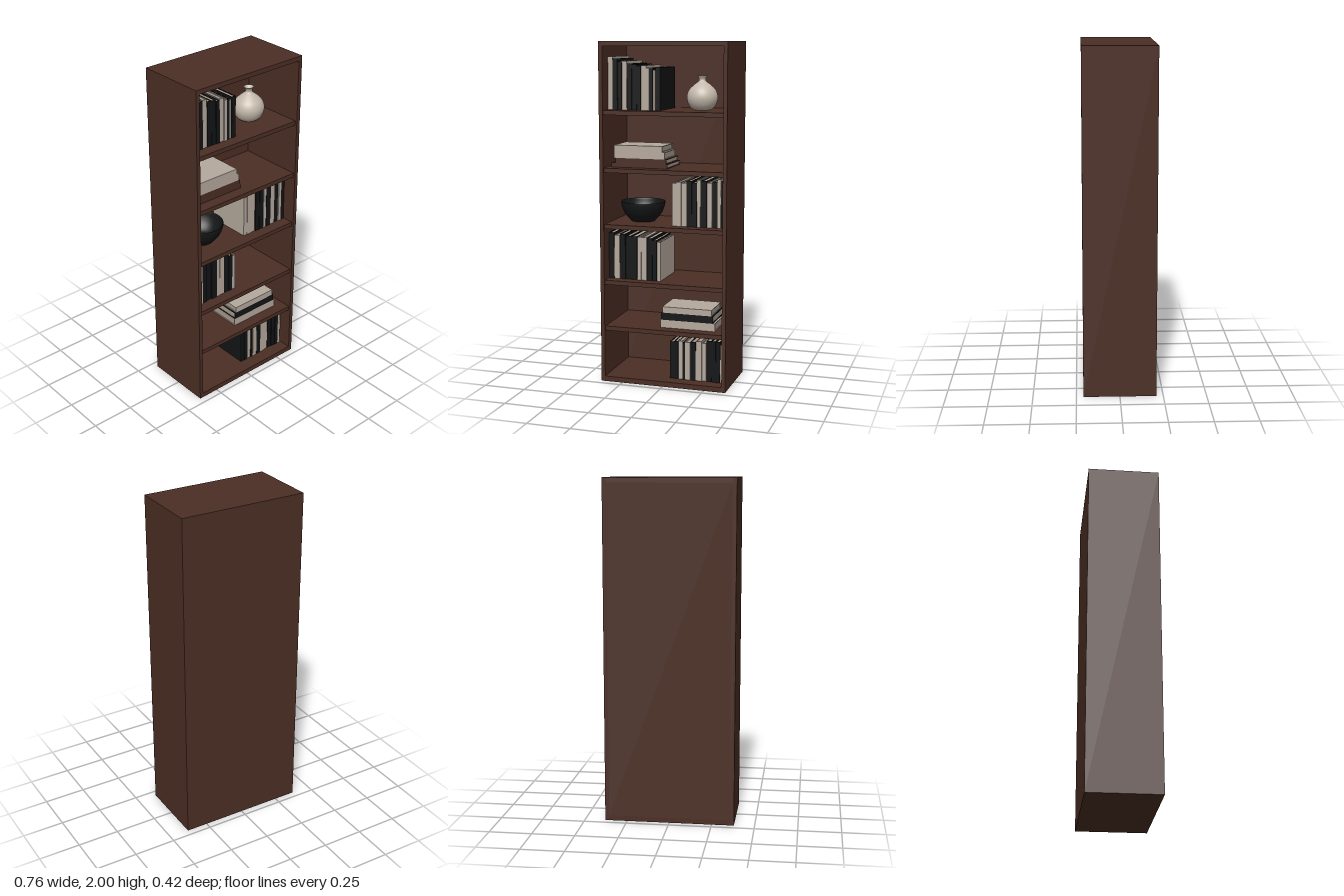
import * as THREE from 'three';

const mat = (name, color, side = THREE.FrontSide) => {
  const m = new THREE.MeshStandardMaterial({ color, side });
  m.name = name;
  return m;
};

export function createModel() {
  const model = new THREE.Group();
  model.name = 'bookcase';
  const wood = mat('dark brown wood', 0x4b2e24);
  const cream = mat('cream cover', 0xb5a99d);
  const black = mat('black cover', 0x131415);
  const pages = mat('paper', 0xa89c8f);
  const ceramic = mat('pale ceramic', 0xc4b9ab, THREE.DoubleSide);
  const bowlBlack = mat('black bowl glaze', 0x151617, THREE.DoubleSide);

  // Box given by its min and max corners
  const box = (parent, name, m, x0, x1, y0, y1, z0, z1) => {
    const mesh = new THREE.Mesh(new THREE.BoxGeometry(x1 - x0, y1 - y0, z1 - z0), m);
    mesh.position.set((x0 + x1) / 2, (y0 + y1) / 2, (z0 + z1) / 2);
    mesh.name = name;
    parent.add(mesh);
    return mesh;
  };

  // Carcass
  const W = 0.38, D = 0.21, T = 0.023;
  for (const s of [-1, 1]) {
    const c = s * (W - T / 2);
    box(model, s < 0 ? 'rightSide' : 'leftSide', wood, c - T / 2, c + T / 2, 0, 2, -D, D);
  }
  const inner = W - T;
  box(model, 'topPanel', wood, -inner, inner, 1.973, 2, -D, D);
  box(model, 'bottomPanel', wood, -inner, inner, 0, 0.03, -D, D);
  box(model, 'backPanel', wood, -inner, inner, 0.03, 1.973, -D, -D + 0.012);

  // Shelves, given by the height of their upper face
  const shelves = [0.335, 0.612, 0.945, 1.275, 1.608];
  shelves.forEach((y, i) =>
    box(model, 'shelf' + (i + 1), wood, -inner, inner, y - 0.026, y, -D + 0.012, D - 0.012));

  // One upright book, centred on x = 0, standing on y = 0, spine to +z
  const makeBook = (cover, w, h, d) => {
    const g = new THREE.Group();
    g.name = 'book';
    const t = Math.min(0.004, w / 5), e = 0.004;
    for (const s of [-1, 1]) {
      const c = s * (w - t) / 2;
      box(g, 'coverBoard', cover, c - t / 2, c + t / 2, 0, h, -d / 2, d / 2);
    }
    box(g, 'spine', cover, -w / 2 + t, w / 2 - t, 0, h, d / 2 - t, d / 2);
    box(g, 'pageBlock', pages, -w / 2 + t, w / 2 - t, e, h - e, -d / 2 + e, d / 2 - t);
    return g;
  };

  let seed = 7;
  const rand = () => (seed = (seed * 16807) % 2147483647) / 2147483647;

  // Row of upright books: colour letter and relative width for each
  const bookRow = (name, spec, x0, x1, y, hLeft, hRight, depth) => {
    const row = new THREE.Group();
    row.name = name;
    const books = spec.split(' ').map(s => [s[0], Number(s.slice(1))]);
    const total = books.reduce((a, b) => a + b[1], 0);
    let x = x0;
    for (const [c, n] of books) {
      const w = (x1 - x0) * n / total;
      const h = THREE.MathUtils.lerp(hLeft, hRight, (x - x0) / (x1 - x0)) - 0.022 * rand();
      const book = makeBook(c === 'w' ? cream : black, w - 0.002, h, depth);
      book.position.set(x + w / 2, y, 0.135 - depth / 2 - 0.01 * rand());
      row.add(book);
      x += w;
    }
    model.add(row);
  };
  bookRow('topBooks', 'w6 b6 b5 w6 b6 b6 b5 w6 w4 b4 w3 b6', -0.355, -0.035, 1.608, 0.305, 0.24, 0.28);
  bookRow('thirdShelfBooks', 'w5 w6 w6 b6 b6 w4 b7 w6 b6 w4 b5', 0.032, 0.353, 0.945, 0.27, 0.285, 0.27);
  bookRow('fourthShelfBooks', 'b6 w6 b6 b6 b7 w4 w6 b6 b5 w4', -0.355, -0.035, 0.612, 0.285, 0.25, 0.27);
  bookRow('bottomBooks', 'b5 b5 w5 b3 w6 b6 w7 w5 b6 b5 b5 w4', 0.02, 0.35, 0.03, 0.242, 0.25, 0.27);

  // Stack of books lying flat: [cover, x0, x1, thickness, depth, turn]
  const bookStack = (name, y, list) => {
    const stack = new THREE.Group();
    stack.name = name;
    for (const [cover, x0, x1, t, d, turn] of list) {
      const book = makeBook(cover, t, x1 - x0, d);
      book.rotation.z = -Math.PI / 2;
      book.position.set(-(x1 - x0) / 2, t / 2, 0);
      const holder = new THREE.Group();
      holder.name = 'lyingBook';
      holder.add(book);
      holder.position.set((x0 + x1) / 2, y, 0.13 - d / 2);
      holder.rotation.y = turn;
      stack.add(holder);
      y += t;
    }
    model.add(stack);
  };
  bookStack('secondShelfStack', 1.275, [
    [wood, -0.335, 0.005, 0.026, 0.25, 0],
    [wood, -0.31, 0.0, 0.028, 0.23, 0],
    [cream, -0.32, -0.01, 0.041, 0.22, 0],
    [cream, -0.32, -0.025, 0.034, 0.21, 0],
  ]);
  bookStack('fifthShelfStack', 0.335, [
    [cream, -0.035, 0.295, 0.047, 0.24, 0],
    [black, -0.033, 0.283, 0.043, 0.23, 0],
    [cream, -0.025, 0.275, 0.036, 0.21, 0],
  ]);

  // Turned pieces from a smooth profile
  const turned = (name, m, pts, x, y, z) => {
    const curve = new THREE.SplineCurve(pts.map(p => new THREE.Vector2(...p)));
    const profile = curve.getPoints(40).map(p => p.setX(Math.max(0, p.x)));
    const mesh = new THREE.Mesh(new THREE.LatheGeometry(profile, 40), m);
    mesh.name = name;
    mesh.position.set(x, y, z);
    model.add(mesh);
  };
  turned('bowl', bowlBlack, [[0, 0], [0.06, 0], [0.075, 0.008], [0.108, 0.045], [0.126, 0.085], [0.131, 0.115],
    [0.126, 0.116], [0.118, 0.085], [0.098, 0.047], [0.06, 0.016], [0, 0.012]], -0.185, 0.945, 0);
  turned('vase', ceramic, [[0, 0], [0.045, 0.001], [0.075, 0.025], [0.09, 0.07], [0.078, 0.115], [0.045, 0.148],
    [0.023, 0.165], [0.02, 0.18], [0.029, 0.197], [0.024, 0.196], [0.014, 0.18], [0.014, 0.165]], 0.177, 1.608, 0);

  return model;
}
